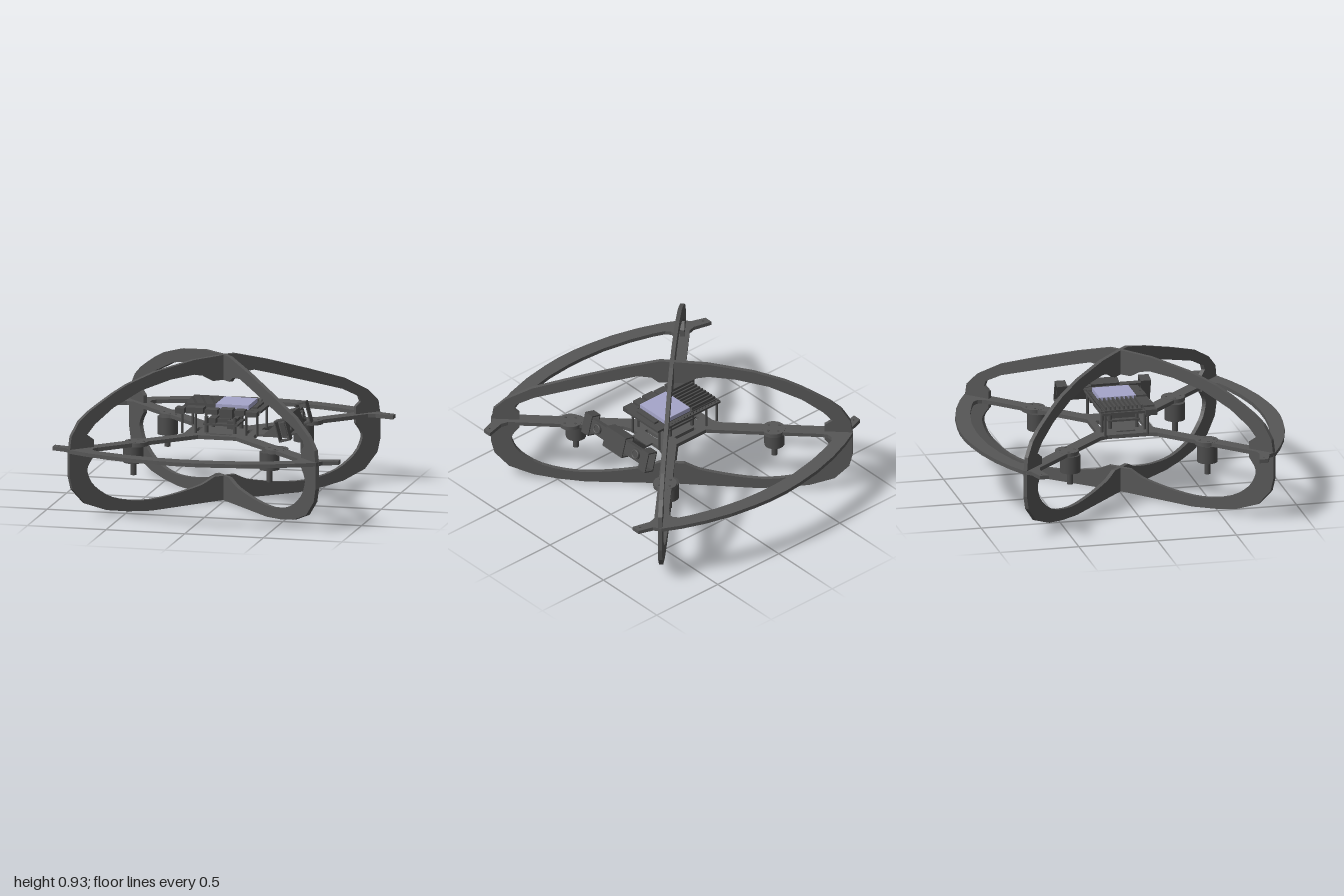
import * as THREE from 'three';

const frameMat = new THREE.MeshStandardMaterial({ color: 0x565656 });
frameMat.name = 'frame grey';
const partMat = new THREE.MeshStandardMaterial({ color: 0x4c4c4c });
partMat.name = 'electronics grey';
const chipMat = new THREE.MeshStandardMaterial({ color: 0xa5a5ca });
chipMat.name = 'pale lavender';

const V = (pts, sx = 1, sy = 1) => pts.map(([x, y]) => new THREE.Vector2(x * sx, y * sy));

function add(parent, name, geo, mat, x = 0, y = 0, z = 0) {
  const m = new THREE.Mesh(geo, mat);
  m.name = name;
  m.position.set(x, y, z);
  parent.add(m);
  return m;
}

// box given by its min and max on each axis
function box(parent, name, x0, x1, y0, y1, z0, z1, mat = partMat) {
  return add(parent, name, new THREE.BoxGeometry(x1 - x0, y1 - y0, z1 - z0), mat,
    (x0 + x1) / 2, (y0 + y1) / 2, (z0 + z1) / 2);
}

function cyl(parent, name, r, y0, y1, x, z, mat = partMat, n = 20) {
  return add(parent, name, new THREE.CylinderGeometry(r, r, y1 - y0, n), mat, x, (y0 + y1) / 2, z);
}

function circlePath(x, y, r) {
  return new THREE.Path().absarc(x, y, r, 0, Math.PI * 2, true);
}

function rectPath(x0, x1, y0, y1) {
  return new THREE.Path(V([[x0, y0], [x0, y1], [x1, y1], [x1, y0]]));
}

function extrude(shape, depth) {
  return new THREE.ExtrudeGeometry(shape, { depth, bevelEnabled: false, curveSegments: 10 });
}

// vertical guard ring, lying on a diagonal
function ringGeometry() {
  const R = Math.SQRT2 * 0.988;
  const outer = [[-0.8, 0.43], [-0.79, 0.53], [-0.75, 0.617], [-0.7, 0.672], [-0.64, 0.72],
    [-0.57, 0.772], [-0.5, 0.815], [-0.36, 0.872], [-0.16, 0.917], [0, 0.927], [0.055, 0.927],
    [0.225, 0.864], [0.44, 0.77], [0.62, 0.685], [0.735, 0.597], [0.79, 0.52], [0.8, 0.43],
    [0.8, 0.28], [0.785, 0.195], [0.72, 0.097], [0.61, 0.04], [0.5, 0.015], [0.38, 0.001],
    [0, 0.012], [-0.38, 0.001], [-0.5, 0.015], [-0.61, 0.04], [-0.72, 0.097], [-0.785, 0.195],
    [-0.8, 0.28]];
  const curve = new THREE.SplineCurve(V([[0.675, 0.39], [0.705, 0.33], [0.705, 0.28], [0.67, 0.2],
    [0.575, 0.115], [0.43, 0.073], [0.28, 0.083], [0.14, 0.117], [0.095, 0.138], [0.055, 0.165]]));
  const low = curve.getPoints(27).map((p) => [p.x, p.y]);
  const inner = [[-0.675, 0.495], [-0.71, 0.53], [-0.67, 0.59], [-0.575, 0.68], [-0.43, 0.767],
    [-0.28, 0.812], [-0.16, 0.825], [-0.11, 0.81], [-0.06, 0.77], [0.06, 0.77], [0.09, 0.803],
    [0.15, 0.81], [0.25, 0.77], [0.44, 0.69], [0.61, 0.617], [0.69, 0.56], [0.7, 0.525],
    [0.675, 0.495], ...low, ...low.map(([x, y]) => [-x, y]).reverse()];
  // outline and hole run in opposite directions so the inner wall faces inward
  const shape = new THREE.Shape(V(outer, R).reverse());
  shape.holes.push(new THREE.Path(V(inner, R)));
  return extrude(shape, 0.026).translate(0, 0, -0.013);
}

// flat deck: hub, four arms, two end arcs and four ears
function deckGeometry() {
  const quarter = [[0.22, 0.13], [0.24, 0.18], [0.71, 0.65], [0.745, 0.685], [0.79, 0.697],
    [0.908, 0.667], [0.908, 0.725], [0.815, 0.755], [0.785, 0.8], [0.67, 0.857], [0.52, 0.915],
    [0.35, 0.962], [0.18, 0.989], [0.06, 1]];
  const m = (sx, sy) => quarter.map(([x, y]) => [x * sx, y * sy]);
  const shape = new THREE.Shape(V([...m(1, 1), ...m(-1, 1).reverse(), ...m(-1, -1), ...m(1, -1).reverse()]));
  const half = [[0.12, 0.18], [0.63, 0.69], [0.65, 0.72], [0.65, 0.75], [0.625, 0.78],
    [0.55, 0.81], [0.4, 0.855], [0.22, 0.89], [0.06, 0.902]];
  const opening = [...half, ...half.map(([x, y]) => [-x, y]).reverse()];
  for (const s of [1, -1]) {
    shape.holes.push(new THREE.Path(V(opening, 1, s)));
    shape.holes.push(rectPath(-0.08, 0.08, s * 0.125 - 0.012, s * 0.125 + 0.012));
    shape.holes.push(rectPath(s * 0.16 - 0.012, s * 0.16 + 0.012, -0.06, 0.06));
    for (const t of [1, -1]) shape.holes.push(circlePath(s * 0.875, t * 0.705, 0.006));
  }
  return extrude(shape, 0.024).rotateX(-Math.PI / 2).translate(0, 0.424, 0);
}

function addMotor(parent, sx, sz) {
  const g = new THREE.Group();
  g.name = 'motor';
  const x = sx > 0 ? 0.4 : -0.465, z = sz > 0 ? 0.443 : -0.428;
  cyl(g, 'motorMount', 0.073, 0.423, 0.449, sx * 0.445, sz * 0.443, frameMat, 24);
  cyl(g, 'motorBody', 0.063, 0.315, 0.425, x, z, partMat, 24);
  cyl(g, 'motorShaft', 0.019, 0.235, 0.315, x, z, partMat, 12);
  for (let i = 0; i < 4; i++) {
    const a = i * Math.PI / 2;
    cyl(g, 'mountScrew', 0.008, 0.448, 0.451, sx * 0.445 + 0.045 * Math.cos(a),
      sz * 0.443 + 0.045 * Math.sin(a), partMat, 8);
  }
  parent.add(g);
}

function addElectronics(parent) {
  const g = new THREE.Group();
  g.name = 'electronics';
  // main board on posts
  box(g, 'mainBoard', -0.25, 0.22, 0.585, 0.6, -0.17, 0.13);
  for (const [x, z] of [[-0.235, -0.15], [-0.235, 0.12], [-0.15, -0.15], [-0.15, 0.12],
    [0.17, 0.12], [0.235, -0.15], [0.235, 0.1]]) cyl(g, 'post', 0.008, 0.445, 0.6, x, z, partMat, 8);
  box(g, 'sideConnector', 0.2, 0.265, 0.592, 0.607, -0.17, 0.12);
  box(g, 'sideSocket', 0.2, 0.23, 0.6, 0.62, -0.1, 0.07);
  box(g, 'lavenderModule', -0.03, 0.18, 0.605, 0.632, -0.135, 0.095, chipMat);
  box(g, 'moduleBase', -0.03, 0.18, 0.6, 0.605, -0.135, 0.095);
  // ribbed cooler
  box(g, 'coolerBase', -0.235, -0.03, 0.6, 0.612, -0.15, 0.085);
  for (let i = 0; i < 9; i++) {
    const z = -0.145 + i * 0.028;
    box(g, 'coolerRib', -0.225, -0.035, 0.612, 0.632, z, z + 0.01);
  }
  // ports along the front edge
  for (const [x0, x1, y0, y1] of [[-0.27, -0.21, 0.575, 0.61], [-0.2, -0.09, 0.58, 0.618],
    [-0.08, 0, 0.58, 0.61], [0.015, 0.095, 0.56, 0.616], [0.11, 0.17, 0.58, 0.612],
    [0.18, 0.25, 0.575, 0.605]]) box(g, 'port', x0, x1, y0, y1, 0.1, 0.172);
  // pin row along the rear edge
  box(g, 'pinStrip', -0.24, 0.2, 0.6, 0.608, -0.18, -0.155);
  for (let i = 0; i < 18; i++) {
    const x = -0.23 + i * 0.025;
    box(g, 'pin', x, x + 0.006, 0.608, 0.618, -0.171, -0.165);
  }
  // small lower board
  box(g, 'lowerBoard', -0.11, 0.11, 0.495, 0.507, -0.1, 0.1);
  box(g, 'lowerChip', -0.05, 0.05, 0.507, 0.53, -0.05, 0.05);
  box(g, 'lowerSocket', -0.075, -0.03, 0.507, 0.54, -0.09, 0.09);
  box(g, 'lowerSocket', 0.04, 0.085, 0.475, 0.525, -0.08, 0.085);
  for (const x of [-0.09, 0.09])
    for (const z of [-0.085, 0.085]) cyl(g, 'lowerPost', 0.012, 0.42, 0.55, x, z, partMat, 8);
  box(g, 'undersideSensor', 0.02, 0.1, 0.408, 0.426, -0.075, 0.07);
  parent.add(g);
}

function addCamera(parent) {
  // sloped bracket
  const wedge = new THREE.Shape(V([[0.265, 0.443], [0.43, 0.443], [0.4, 0.56], [0.385, 0.55]]));
  for (const s of [1, -1]) add(parent, 'bracketCheek', extrude(wedge, 0.02), frameMat, 0, 0, s * 0.06 - 0.01);
  const slope = add(parent, 'bracketSlope', new THREE.BoxGeometry(0.16, 0.012, 0.12), frameMat, 0.327, 0.493, 0);
  slope.rotation.z = Math.atan2(0.107, 0.12);
  box(parent, 'bracketFoot', 0.2, 0.43, 0.435, 0.449, -0.07, 0.07, frameMat);

  // tilted stereo camera with a hollow centre housing and open end frames
  const g = new THREE.Group();
  g.name = 'stereoCamera';
  g.position.set(0.44, 0.525, 0);
  g.rotation.z = 0.26;
  const frame = new THREE.Shape(V([[-0.036, -0.068], [0.036, -0.068], [0.036, 0.068], [-0.036, 0.068]]));
  frame.holes.push(rectPath(-0.029, 0.029, -0.06, 0.06));
  for (const [name, z0, z1] of [['endFrame', -0.305, -0.24], ['cameraCentre', -0.09, 0.09],
    ['endFrame', 0.225, 0.29]]) add(g, name, extrude(frame, z1 - z0), partMat, 0, 0, z0);
  box(g, 'cameraBar', -0.018, 0.012, -0.045, 0.042, -0.25, 0.24);
  for (const s of [1, -1]) {
    const barrel = add(g, 'lensBarrel', new THREE.CylinderGeometry(0.034, 0.034, 0.012, 20), partMat, 0.016, 0, s * 0.18);
    barrel.rotation.z = Math.PI / 2;
    const rim = add(g, 'lensRim', new THREE.TorusGeometry(0.026, 0.005, 8, 20), frameMat, 0.022, 0, s * 0.18);
    rim.rotation.y = Math.PI / 2;
  }
  parent.add(g);
}

export function createModel() {
  const model = new THREE.Group();
  model.name = 'quadcopter';
  const ring = ringGeometry();
  for (const s of [1, -1]) add(model, 'guardRing', ring, frameMat).rotation.y = s * Math.PI / 4;
  add(model, 'deck', deckGeometry(), frameMat);
  for (const sx of [1, -1]) for (const sz of [1, -1]) addMotor(model, sx, sz);
  addElectronics(model);
  addCamera(model);
  return model;
}
